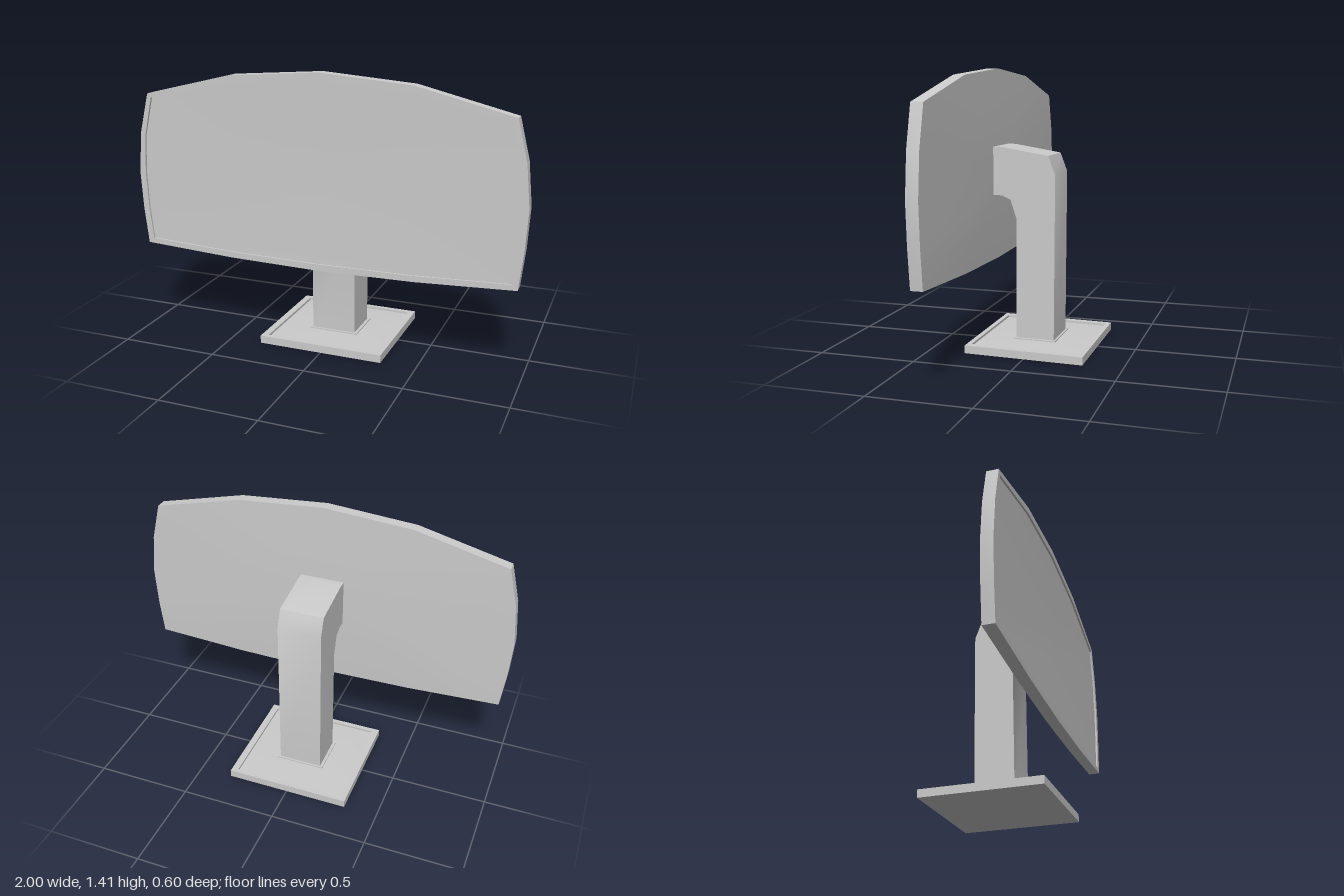
import * as THREE from 'three';
import { toCreasedNormals } from 'three/addons/utils/BufferGeometryUtils.js';

const material = new THREE.MeshStandardMaterial({ color: 0xcccccc });

function part(name, geometry, crease = 0.5) {
  const mesh = new THREE.Mesh(toCreasedNormals(geometry, crease), material);
  mesh.name = name;
  return mesh;
}

// Skins a row of closed rings and caps both ends with a fan to a centre point.
// Rings run counter-clockwise when looked at from the last ring's side.
function loft(rings, startCentre, endCentre) {
  const out = [];
  const n = rings[0].length;
  const tri = (a, b, c) => out.push(...a, ...b, ...c);
  for (let j = 0; j < n; j++) {
    const k = (j + 1) % n;
    tri(startCentre, rings[0][k], rings[0][j]);
    for (let i = 0; i < rings.length - 1; i++) {
      const a = rings[i], b = rings[i + 1];
      tri(a[j], a[k], b[k]);
      tri(a[j], b[k], b[j]);
    }
    const last = rings[rings.length - 1];
    tri(last[j], last[k], endCentre);
  }
  const geometry = new THREE.BufferGeometry();
  geometry.setAttribute('position', new THREE.Float32BufferAttribute(out, 3));
  return geometry;
}

// Mirrors a right-hand outline, from bottom centre to top centre.
function mirrored(half) {
  const other = half.slice(1, -1).reverse().map(([x, y]) => [-x, y]);
  return [...half, ...other];
}

function createScreen() {
  const outer = mirrored([[0, 0.44], [0.48, 0.449], [0.97, 0.474], [0.99, 0.66], [1, 0.86],
    [0.979, 1.07], [0.93, 1.265], [0.46, 1.38], [0, 1.415]]);
  const inner = mirrored([[0, 0.473], [0.47, 0.479], [0.94, 0.5], [0.958, 0.66], [0.967, 0.86],
    [0.955, 1.05], [0.91, 1.245], [0.46, 1.345], [0, 1.379]]);
  const cy = 0.9;
  const ring = (pts, z, s = 1) => pts.map(([x, y]) => [x * s, cy + (y - cy) * s, z]);
  return part('screen', loft([
    ring(outer, 0.219, 0.5),   // gently bulged back
    ring(outer, 0.228),
    ring(outer, 0.287),        // bezel
    ring(inner, 0.287),
    ring(inner, 0.277),        // recessed, slightly hollow panel
    ring(inner, 0.273, 0.55),
  ], [0, cy, 0.217], [0, cy, 0.271]));
}

function createStand() {
  // Side profile as z, y
  const profile = [[0.1, 0.03], [0.095, 0.66], [0.128, 0.76], [0.175, 0.78], [0.222, 0.78],
    [0.222, 1.025], [0.175, 1.025], [-0.07, 0.985], [-0.106, 0.89], [-0.1, 0.03]];
  const shape = new THREE.Shape(profile.map(([z, y]) => new THREE.Vector2(z, y)));
  const geometry = new THREE.ExtrudeGeometry(shape, { depth: 0.23, bevelEnabled: false });
  geometry.rotateY(-Math.PI / 2).translate(0.115, 0, 0);
  return part('standColumn', geometry, 0.4);
}

function createBase() {
  const ring = (x, z, y) => [[x, y, z], [x, y, -z], [-x, y, -z], [-x, y, z]];
  const geometry = loft([
    ring(0.325, 0.302, 0.004),
    ring(0.325, 0.302, 0.044),
    ring(0.29, 0.278, 0.044),   // rim
    ring(0.29, 0.278, 0.032),   // tray rising to the collar
    ring(0.13, 0.11, 0.042),
    ring(0.13, 0.11, 0.048),    // collar around the column
    ring(0.118, 0.102, 0.048),
  ], [0, 0.004, 0], [0, 0.048, 0]);
  geometry.rotateX(-0.012);     // slight rise toward the front
  return part('base', geometry, 0.2);
}

export function createModel() {
  const group = new THREE.Group();
  group.name = 'monitor';
  group.add(createScreen(), createStand(), createBase());
  return group;
}
